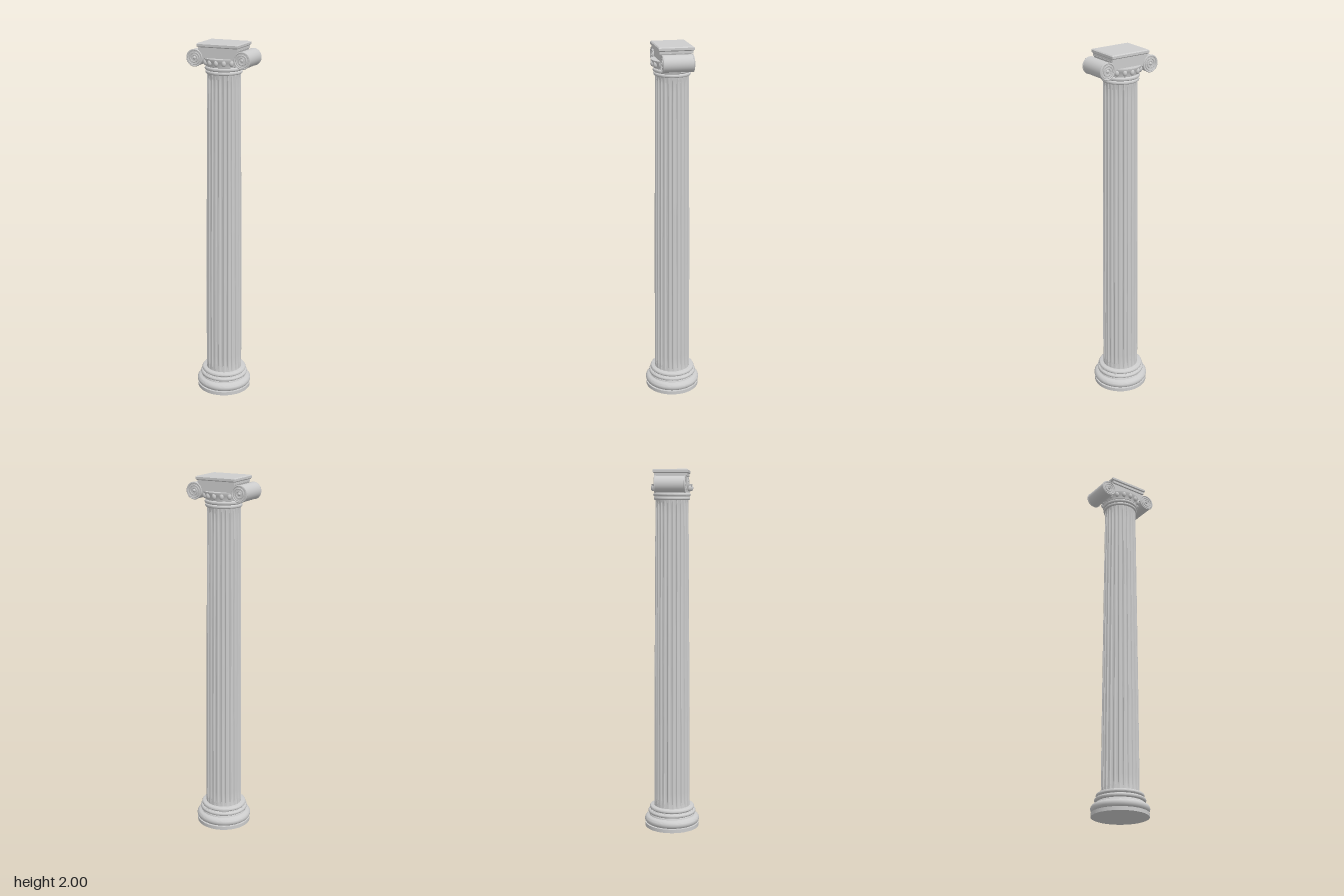
import * as THREE from 'three';
import { toCreasedNormals } from 'three/addons/utils/BufferGeometryUtils.js';

const stone = new THREE.MeshStandardMaterial({ color: 0xcccccc });
stone.name = 'stone';

function add(parent, name, geometry, x = 0, y = 0, z = 0) {
  const mesh = new THREE.Mesh(geometry, stone);
  mesh.name = name;
  mesh.position.set(x, y, z);
  parent.add(mesh);
  return mesh;
}

// Half-round moulding bulging out to radius r between heights y0 and y1
function bead(r, y0, y1, steps = 8) {
  const h = (y1 - y0) / 2;
  return Array.from({ length: steps + 1 }, (_, i) => {
    const a = -Math.PI / 2 + (Math.PI * i) / steps;
    return [r - h + h * Math.cos(a), (y0 + y1) / 2 + h * Math.sin(a)];
  });
}

function turned(points) {
  const profile = points.map(([r, y]) => new THREE.Vector2(r, y));
  return toCreasedNormals(new THREE.LatheGeometry(profile, 64), 0.6);
}

// Tapered shaft with concave flutes separated by narrow fillets
function flutedShaft(y0, y1, flutes = 24) {
  const geometry = new THREE.CylinderGeometry(1, 1, 1, flutes * 10, 40, true);
  const p = geometry.attributes.position;
  for (let i = 0; i < p.count; i++) {
    const v = p.getY(i) + 0.5;
    const angle = Math.atan2(p.getX(i), p.getZ(i));
    const turn = (angle / (2 * Math.PI)) * flutes;
    const t = (turn - Math.round(turn)) / 0.4;
    const fade = Math.sqrt(Math.min(1, Math.min(v, 1 - v) / 0.025));
    const depth = 0.008 * fade * Math.sqrt(Math.max(0, 1 - t * t));
    const r = 0.101 - 0.011 * Math.pow(v, 1.3) - depth;
    p.setXYZ(i, r * Math.sin(angle), y0 + v * (y1 - y0), r * Math.cos(angle));
  }
  return toCreasedNormals(geometry, 0.6);
}

// Spiral ridge winding in towards the eye of a volute
function spiral(side) {
  const points = [];
  for (let i = 0; i <= 48; i++) {
    const k = i / 48;
    const a = k * Math.PI * 4.5;
    const r = 0.041 - 0.03 * k;
    points.push(new THREE.Vector3(side * r * Math.sin(a), r * Math.cos(a), 0));
  }
  return new THREE.TubeGeometry(new THREE.CatmullRomCurve3(points), 100, 0.0035, 6);
}

export function createModel() {
  const column = new THREE.Group();
  column.name = 'column';

  // Base: plinth disc, large torus, scotia, small torus, top band
  add(column, 'base', turned([
    [0, 0], [0.152, 0], [0.152, 0.02],
    ...bead(0.155, 0.02, 0.064),
    [0.128, 0.066], [0.126, 0.074],
    ...bead(0.135, 0.076, 0.098),
    [0.124, 0.099], ...bead(0.127, 0.1, 0.122), [0, 0.122],
  ]));

  add(column, 'shaft', flutedShaft(0.12, 1.845));

  // Neck rings and the flaring cushion below the volutes
  add(column, 'neck', turned([
    [0, 1.835], ...bead(0.099, 1.837, 1.855),
    ...bead(0.102, 1.856, 1.876),
    [0.097, 1.878], [0.099, 1.89], [0.105, 1.904], [0.111, 1.916], [0.111, 1.922], [0, 1.922],
  ]));

  // Ring of eggs around the cushion
  const eggs = new THREE.Group();
  eggs.name = 'eggs';
  column.add(eggs);
  const eggGeometry = new THREE.SphereGeometry(0.012, 14, 10);
  for (let i = 0; i < 16; i++) {
    const a = (i / 16) * Math.PI * 2;
    const egg = add(eggs, 'egg', eggGeometry, 0.104 * Math.sin(a), 1.901, 0.104 * Math.cos(a));
    egg.scale.y = 1.4;
  }

  // Block between the volutes, widening towards the abacus
  const outline = new THREE.Shape([
    new THREE.Vector2(-0.095, 1.915), new THREE.Vector2(0.095, 1.915),
    new THREE.Vector2(0.112, 1.967), new THREE.Vector2(-0.112, 1.967),
  ]);
  add(column, 'capitalBlock',
    new THREE.ExtrudeGeometry(outline, { depth: 0.156, bevelEnabled: false }), 0, 0, -0.078);

  // Scrolls: a bolster on each side with a volute at both ends
  for (const side of [-1, 1]) {
    const scroll = new THREE.Group();
    scroll.name = side > 0 ? 'leftScroll' : 'rightScroll';
    scroll.position.set(side * 0.135, 1.92, 0);
    column.add(scroll);
    const bolster = new THREE.CylinderGeometry(0.0445, 0.0445, 0.158, 40);
    add(scroll, 'bolster', bolster.rotateX(Math.PI / 2));
    for (const end of [-1, 1]) {
      add(scroll, 'voluteRim', new THREE.TorusGeometry(0.0425, 0.004, 8, 40), 0, 0, end * 0.079);
      add(scroll, 'voluteSpiral', spiral(side), 0, 0, end * 0.08);
      add(scroll, 'voluteEye', new THREE.SphereGeometry(0.009, 16, 10), 0, 0, end * 0.078);
    }
  }

  // Abacus: recessed lower slab and a bevelled upper slab
  add(column, 'abacusLower', new THREE.BoxGeometry(0.22, 0.016, 0.176), 0, 1.972, 0);
  const w = 0.11, d = 0.088, bevel = 0.006;
  const slab = new THREE.Shape([
    new THREE.Vector2(-w, -d), new THREE.Vector2(w, -d),
    new THREE.Vector2(w, d), new THREE.Vector2(-w, d),
  ]);
  const slabGeometry = new THREE.ExtrudeGeometry(slab, {
    depth: 0.012, bevelThickness: 0.005, bevelSize: bevel, bevelSegments: 1,
  });
  add(column, 'abacusUpper', slabGeometry.rotateX(-Math.PI / 2), 0, 1.983, 0);

  return column;
}
